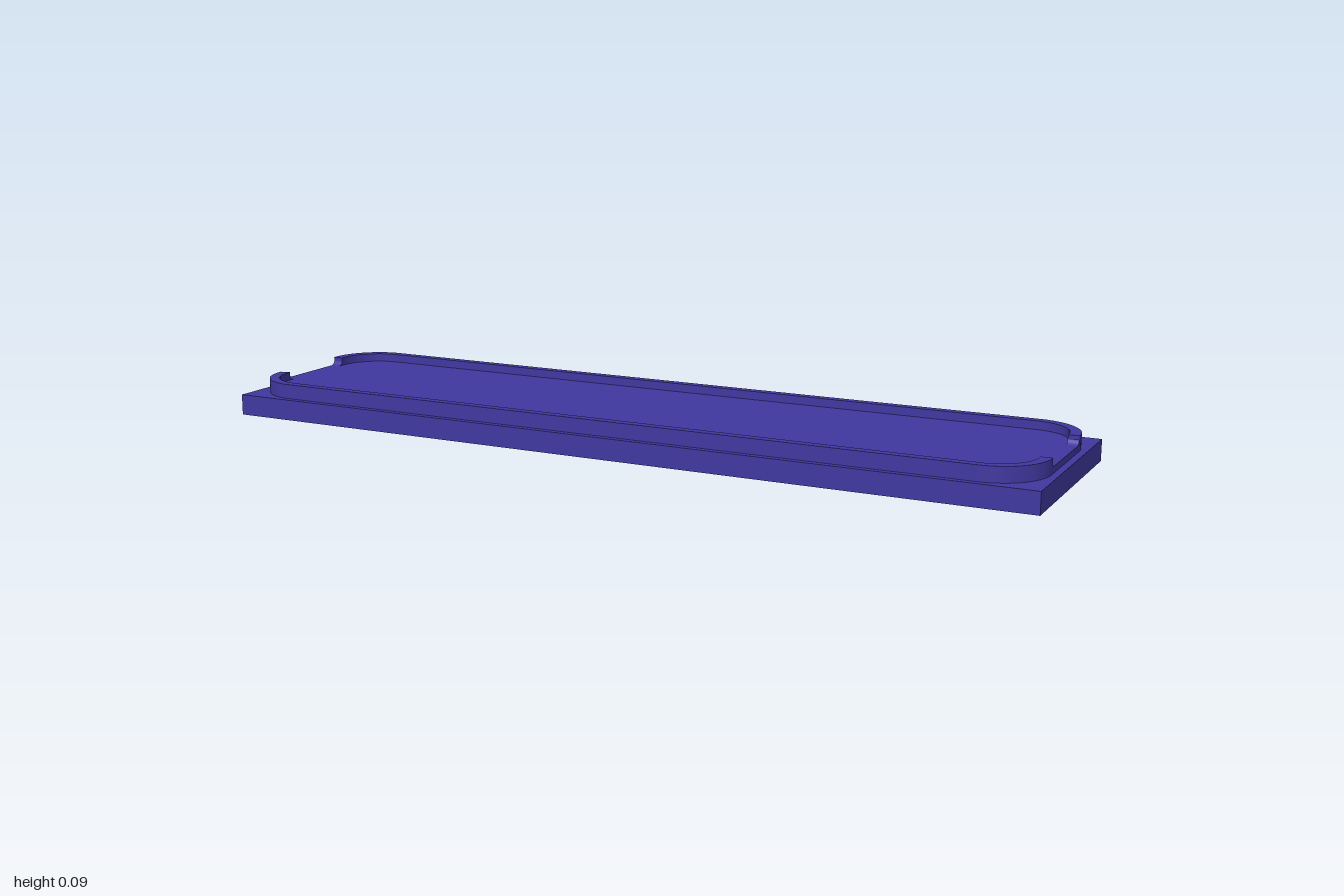
import * as THREE from 'three';
import { toCreasedNormals } from 'three/addons/utils/BufferGeometryUtils.js';

const PLATE_TOP = 0.05, FLOOR = 0.065, RIM_TOP = 0.085;
const OUTER = { x: 0.985, z: 0.234, r: 0.12 };
const INNER = { x: 0.96, z: 0.212, r: 0.097 };
const NOTCH = 0.108, FILLET = 0.012;

const material = new THREE.MeshStandardMaterial({ color: 0x4038a0 });

function extrude(shape, depth) {
  const geometry = new THREE.ExtrudeGeometry(shape, { depth, bevelEnabled: false, curveSegments: 16 });
  return toCreasedNormals(geometry, 0.5);
}

function add(parent, name, geometry) {
  const mesh = new THREE.Mesh(geometry, material);
  mesh.name = name;
  parent.add(mesh);
  return mesh;
}

function roundedRect({ x, z, r }) {
  const s = new THREE.Shape();
  s.absarc(x - r, z - r, r, 0, Math.PI / 2);
  s.absarc(-x + r, z - r, r, Math.PI / 2, Math.PI);
  s.absarc(-x + r, -z + r, r, Math.PI, Math.PI * 1.5);
  s.absarc(x - r, -z + r, r, Math.PI * 1.5, Math.PI * 2);
  s.closePath();
  return s;
}

// C-shaped half of the rim, stopping at the notch on each end
function halfRim(o, i) {
  const s = new THREE.Shape();
  s.moveTo(o.x, NOTCH);
  s.absarc(o.x - o.r, o.z - o.r, o.r, 0, Math.PI / 2);
  s.absarc(-o.x + o.r, o.z - o.r, o.r, Math.PI / 2, Math.PI);
  s.lineTo(-o.x, NOTCH);
  s.lineTo(-i.x, NOTCH);
  s.absarc(-i.x + i.r, i.z - i.r, i.r, Math.PI, Math.PI / 2, true);
  s.absarc(i.x - i.r, i.z - i.r, i.r, Math.PI / 2, 0, true);
  s.lineTo(i.x, NOTCH);
  s.closePath();
  return s;
}

export function createModel() {
  const model = new THREE.Group();
  model.name = 'tray';

  // Rectangular base plate
  add(model, 'basePlate', new THREE.BoxGeometry(2, PLATE_TOP, 0.5)).position.y = PLATE_TOP / 2;

  const raised = new THREE.Group();
  raised.name = 'raisedTray';
  raised.position.set(-0.001, 0, 0.001);
  model.add(raised);

  // Raised floor with rounded corners
  const floor = add(raised, 'trayFloor', extrude(roundedRect(OUTER), FLOOR - PLATE_TOP));
  floor.rotation.x = -Math.PI / 2;
  floor.position.y = PLATE_TOP;

  // Two rim halves, back and front
  const rimGeometry = extrude(halfRim(OUTER, INNER), RIM_TOP - FLOOR).rotateX(-Math.PI / 2);
  ['backRim', 'frontRim'].forEach((name, k) => {
    const rim = add(raised, name, rimGeometry);
    rim.position.y = FLOOR;
    rim.rotation.y = k * Math.PI;
  });

  // Concave fillets at the foot of each notch side
  const foot = new THREE.Shape();
  foot.moveTo(0, 0);
  foot.lineTo(FILLET, 0);
  foot.absarc(FILLET, FILLET, FILLET, -Math.PI / 2, -Math.PI, true);
  foot.closePath();
  const thickness = OUTER.x - INNER.x;
  const footGeometry = extrude(foot, thickness).translate(0, 0, -thickness / 2);
  for (const sx of [-1, 1]) {
    for (const sz of [-1, 1]) {
      const fillet = add(raised, 'notchFillet', footGeometry);
      fillet.position.set(sx * (OUTER.x + INNER.x) / 2, FLOOR, sz * NOTCH);
      fillet.rotation.y = sz * Math.PI / 2;
    }
  }
  return model;
}
